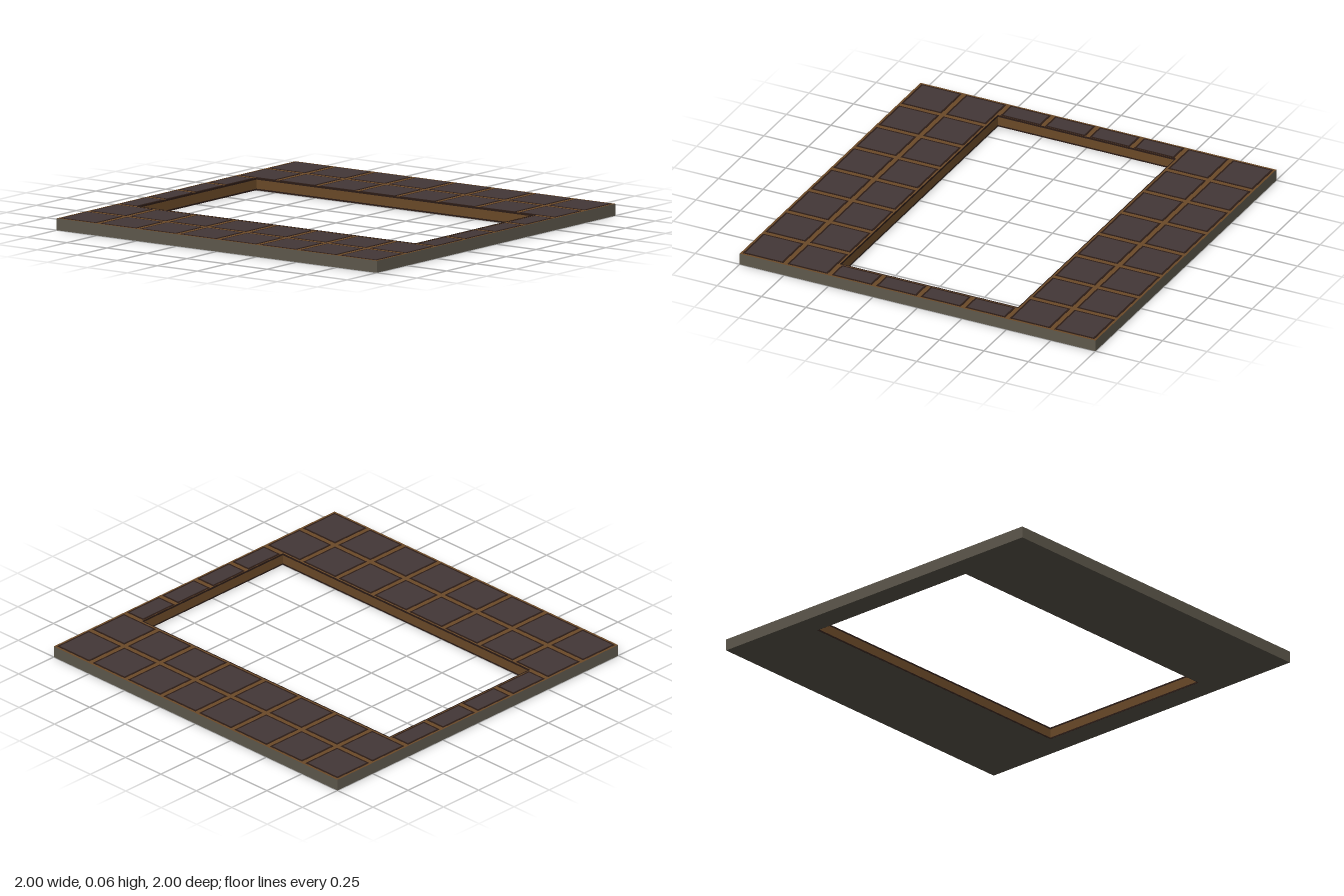
import * as THREE from 'three';

export function createModel() {
  const model = new THREE.Group();
  const make = (name, color) => {
    const m = new THREE.MeshStandardMaterial({ color });
    m.name = name;
    return m;
  };
  const stone = make('grey stone', 0x5f594d);
  const grout = make('brown grout', 0x6b4a28);
  const edge = make('dark tile edge', 0x2c1c16);
  const tile = make('dark tile', 0x433737);

  const HX = 0.5, HZ = 0.87, TOP = 0.0625;

  const add = (name, geometry, material, x = 0, y = 0, z = 0) => {
    const mesh = new THREE.Mesh(geometry, material);
    mesh.name = name;
    mesh.position.set(x, y, z);
    model.add(mesh);
    return mesh;
  };

  // Square frame with a rectangular opening
  const frame = (depth) => {
    const rect = (T, a, b) => new T([[-a, -b], [a, -b], [a, b], [-a, b]].map(p => new THREE.Vector2(...p)));
    const shape = rect(THREE.Shape, 1, 1);
    shape.holes.push(rect(THREE.Path, HX, HZ));
    return new THREE.ExtrudeGeometry(shape, { depth, bevelEnabled: false }).rotateX(-Math.PI / 2);
  };
  add('slab', frame(TOP - 0.003), stone);
  add('groutBed', frame(0.001), [grout, stone], 0, TOP - 0.003, 0);

  // Tile face with a slightly larger dark border plate beneath it
  const addTile = (x0, x1, z0, z1) => {
    const w = x1 - x0, d = z1 - z0, x = (x0 + x1) / 2, z = (z0 + z1) / 2;
    add('tileBorder', new THREE.BoxGeometry(w, 0.001, d), edge, x, TOP - 0.0015, z);
    add('tileFace', new THREE.BoxGeometry(w - 0.02, 0.001, d - 0.02), tile, x, TOP - 0.0005, z);
  };
  const gap = 0.012;
  for (const s of [-1, 1]) {
    // Two columns of eight square tiles on each side
    for (const c of [0.5, 0.75]) {
      const cx = s * (c + 0.125), h = 0.125 - gap;
      for (let r = 0; r < 8; r++) {
        const z = -1 + r * 0.25;
        addTile(cx - h, cx + h, z + gap, z + 0.25 - gap);
      }
    }
    // Narrow cut tiles at the ends of the opening
    for (let i = 0; i < 4; i++) {
      const x = -0.5 + i * 0.25, a = s * (HZ + 0.007), b = s * 0.99;
      addTile(x + gap, x + 0.25 - gap, Math.min(a, b), Math.max(a, b));
    }
  }

  // Lining of the opening: brown band between two dark edges
  const bands = [[0, 0.008, edge], [0.008, 0.054, grout], [0.054, 0.0635, edge]];
  for (const [y0, y1, mat] of bands) {
    const h = y1 - y0, y = (y0 + y1) / 2;
    for (const s of [-1, 1]) {
      add('liningSide', new THREE.BoxGeometry(0.002, h, HZ * 2), mat, s * HX, y, 0);
      add('liningEnd', new THREE.BoxGeometry(HX * 2, h, 0.002), mat, 0, y, s * HZ);
    }
  }
  return model;
}
